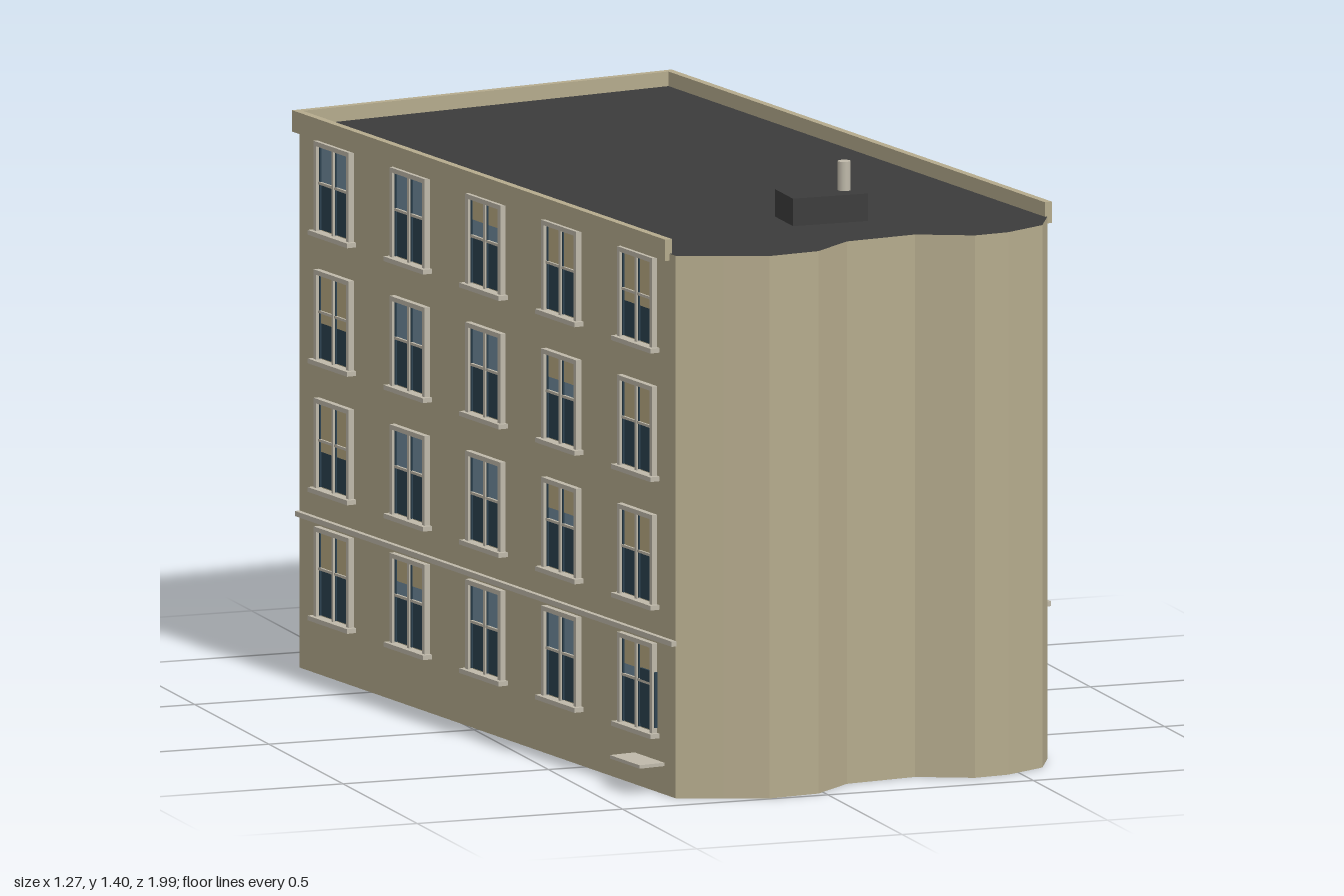
import * as THREE from 'three';

const mat = (name, color, opts = {}) => {
  const m = new THREE.MeshStandardMaterial({ color, ...opts });
  m.name = name;
  return m;
};

export function createModel() {
  const wall = mat('wall stone', 0xb5ab8d);
  const trim = mat('pale trim', 0xbfb9aa);
  const roof = mat('dark roof', 0x3b3b3b);
  const glass = mat('dark glass', 0x2c4250);
  const sky = mat('light glass', 0x718a9d);
  const blind = mat('window blind', 0xb8a983);

  const root = new THREE.Group();
  root.name = 'apartmentBlock';

  const box = (parent, name, m, size, pos) => {
    const mesh = new THREE.Mesh(new THREE.BoxGeometry(...size), m);
    mesh.position.set(...pos);
    mesh.name = name;
    parent.add(mesh);
    return mesh;
  };

  // Main body: straight sides and back, wavy front, dark top and bottom
  const ROOF = 1.266;
  const plan = [
    [-0.625, -0.83], [-0.342, 0.92], [-0.24, 0.96], [-0.14, 0.995], [-0.015, 0.978],
    [0.085, 0.892], [0.26, 0.868], [0.385, 0.925], [0.47, 0.915], [0.572, 0.862],
    [0.617, 0.771], [0.332, -0.985],
  ];
  const shape = new THREE.Shape(plan.map(([x, z]) => new THREE.Vector2(x, -z)));
  const bodyGeo = new THREE.ExtrudeGeometry(shape, { depth: ROOF, bevelEnabled: false });
  bodyGeo.rotateX(-Math.PI / 2);
  const body = new THREE.Mesh(bodyGeo, [roof, wall]);
  body.name = 'body';
  root.add(body);

  // Everything attached to the straight walls shares their turned axes
  const W = 0.485, BACK = -0.919;
  const details = new THREE.Group();
  details.name = 'wallDetails';
  details.rotation.y = 0.161;
  root.add(details);

  // A plate standing "out" from a side wall (s = +1 or -1)
  const plate = (parent, s, name, m, out, y0, y1, z, width) =>
    box(parent, name, m, [out, y1 - y0, width], [s * (W + out / 2), (y0 + y1) / 2, z]);

  const RAIL = 0.117, TOP = 0.204;
  function addWindow(s, z, y, drop) {
    const g = new THREE.Group();
    g.name = 'sideWindow';
    details.add(g);
    plate(g, s, 'lowerGlass', glass, 0.003, y + 0.008, y + RAIL, z, 0.145);
    plate(g, s, 'upperGlass', sky, 0.003, y + RAIL, y + TOP, z, 0.145);
    if (drop) plate(g, s, 'blind', blind, 0.004, y + drop, y + TOP, z, 0.138);
    for (const d of [-1, 1]) {
      plate(g, s, 'jamb', trim, 0.014, y, y + 0.214, z + d * 0.0765, 0.012);
      plate(g, s, 'sashEdge', glass, 0.007, y + 0.008, y + TOP, z + d * 0.068, 0.005);
      plate(g, s, 'mullionEdge', glass, 0.007, y + 0.008, y + TOP, z + d * 0.0065, 0.004);
    }
    plate(g, s, 'head', trim, 0.014, y + 0.203, y + 0.214, z, 0.165);
    plate(g, s, 'mullion', trim, 0.011, y + 0.005, y + TOP, z, 0.009);
    plate(g, s, 'meetingRail', trim, 0.009, y + RAIL - 0.003, y + RAIL + 0.003, z, 0.14);
    plate(g, s, 'sill', trim, 0.024, y - 0.006, y + 0.005, z, 0.186);
  }

  // Blind depth for each window: rows from the top, columns from the front
  const blinds = [
    [0.09, RAIL, 0.155, 0, 0],
    [RAIL, 0.15, 0, 0, 0.09],
    [RAIL, 0.145, 0, 0, 0.09],
    [0.143, 0, 0, 0.15, RAIL],
  ];
  for (const s of [1, -1]) {
    blinds.forEach((row, r) => row.forEach((drop, c) => {
      if (s > 0 && r === 3 && c > 1) return;
      addWindow(s, 0.684 - c * 0.357, 1.033 - r * 0.3, drop);
    }));
    // String course above the ground floor
    plate(details, s, 'stringCourse', trim, 0.012, 0.355, 0.367, -0.031, 1.775);
  }

  // Side doors, each with its slab
  plate(details, 1, 'sideDoor', glass, 0.006, 0.23, 0.35, -0.836, 0.068);
  plate(details, 1, 'doorSlab', trim, 0.065, 0.141, 0.149, -0.84, 0.14);
  plate(details, -1, 'sideDoor', glass, 0.009, 0.15, 0.28, 0.735, 0.068);
  plate(details, -1, 'doorSlab', trim, 0.065, 0.066, 0.074, 0.73, 0.14);

  // Plain rear windows
  for (const x of [-0.24, 0.24])
    for (let r = 0; r < 4; r++)
      box(details, 'rearWindow', glass, [0.146, 0.205, 0.004], [x, 1.133 - r * 0.3, BACK - 0.002]);

  // Parapet on the two sides and the back
  const T = 0.018, out = 0.012;
  for (const [s, end] of [[1, 0.86], [-1, 0.825]]) {
    const z0 = BACK - out;
    box(details, 'sideParapet', wall, [T, 0.05, end - z0],
      [s * (W + out - T / 2), 1.275, (end + z0) / 2]);
  }
  box(details, 'rearParapet', wall, [2 * (W + out - T), 0.05, T], [0, 1.275, BACK - out + T / 2]);

  // Rooftop housing and flue
  box(root, 'roofHousing', roof, [0.183, 0.07, 0.12], [0.122, 1.295, 0.62]);
  const flue = new THREE.Mesh(new THREE.CylinderGeometry(0.015, 0.015, 0.07, 12), trim);
  flue.position.set(0.176, 1.363, 0.622);
  flue.name = 'flue';
  root.add(flue);

  return root;
}
